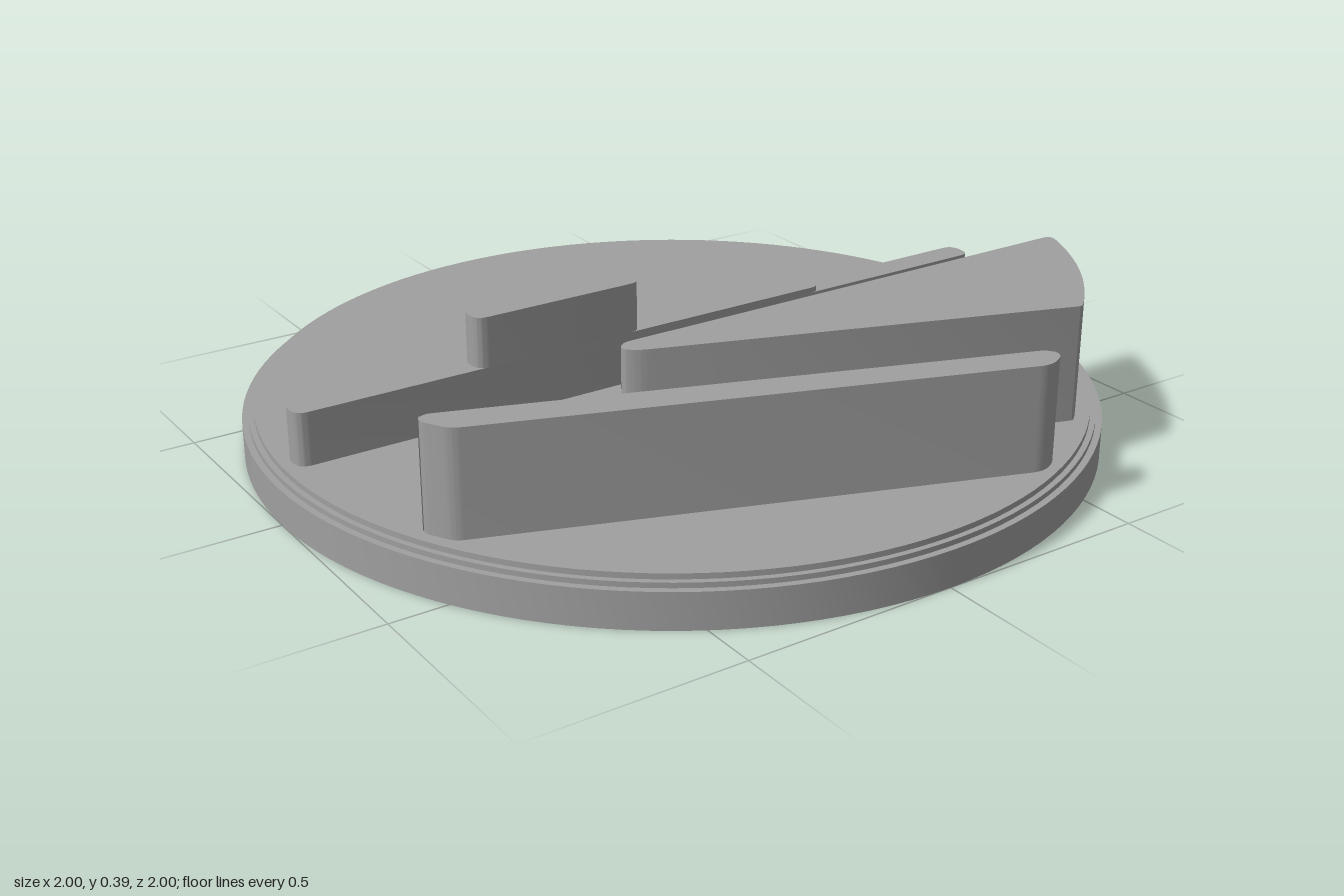
import * as THREE from 'three';
import { toCreasedNormals } from 'three/addons/utils/BufferGeometryUtils.js';

const TOP = 0.11; // top surface of the disc

// Plan outline from [x, z, cornerRadius] points; corners are rounded where a radius is given
function outline(points) {
  const shape = new THREE.Shape();
  const n = points.length;
  const vec = (p) => new THREE.Vector2(p[0], -p[1]);
  points.forEach((p, i) => {
    const c = vec(p);
    const cut = p[2] || 0;
    const toward = (q) => c.clone().add(vec(q).sub(c).setLength(cut));
    const a = cut ? toward(points[(i + n - 1) % n]) : c;
    if (i === 0) shape.moveTo(a.x, a.y);
    else shape.lineTo(a.x, a.y);
    if (cut) {
      const b = toward(points[(i + 1) % n]);
      shape.quadraticCurveTo(c.x, c.y, b.x, b.y);
    }
  });
  shape.closePath();
  return shape;
}

export function createModel() {
  const model = new THREE.Group();
  const grey = new THREE.MeshStandardMaterial({ color: 0xa0a0a0 });
  grey.name = 'grey';

  const add = (name, geometry) => {
    const mesh = new THREE.Mesh(toCreasedNormals(geometry, 0.5), grey);
    mesh.name = name;
    model.add(mesh);
  };

  // Upright wall standing on the disc, rising to the given height
  const wall = (name, points, height) => {
    const geometry = new THREE.ExtrudeGeometry(outline(points), {
      depth: height - TOP, bevelEnabled: false, curveSegments: 8,
    });
    geometry.rotateX(-Math.PI / 2).translate(0, TOP, 0);
    add(name, geometry);
  };

  // Disc with two small steps at the rim
  const profile = [
    [0, 0], [1, 0], [1, 0.085], [0.985, 0.085], [0.985, 0.097],
    [0.972, 0.097], [0.972, TOP], [0, TOP],
  ].map(([r, y]) => new THREE.Vector2(r, y));
  add('base', new THREE.LatheGeometry(profile, 128));

  // Straight rib made of three bars of different heights
  const bar = (name, x0, x1, height) => wall(name, [
    [x0, -0.09, 0.03], [x0, -0.02, 0.03], [x1, -0.02, 0.03], [x1, -0.09, 0.03],
  ], height);
  bar('ribLow', 0.3, 0.943, 0.222);
  bar('ribMiddle', -0.943, 0.455, 0.235);
  bar('ribTall', -0.505, -0.073, 0.355);

  // Slanted blade
  wall('blade', [
    [-0.843, 0.365, 0.025], [-0.862, 0.39, 0.02], [-0.825, 0.457, 0.02],
    [0.368, 0.876, 0.03], [0.422, 0.845, 0.02], [0.418, 0.811, 0.025],
  ], 0.355);

  // Wedge whose outer side follows the rim of the disc
  const arc = [];
  for (let i = 0; i <= 16; i++) {
    const a = THREE.MathUtils.lerp(0.873, 0.395, i / 16);
    arc.push([0.938 * Math.cos(a), 0.938 * Math.sin(a), i === 0 ? 0.01 : 0]);
  }
  wall('wedge', [
    [-0.352, 0.335, 0.02], [-0.374, 0.362, 0.018], [-0.345, 0.389, 0.02],
    ...arc, [0.875, 0.335, 0.025],
  ], 0.385);

  return model;
}
